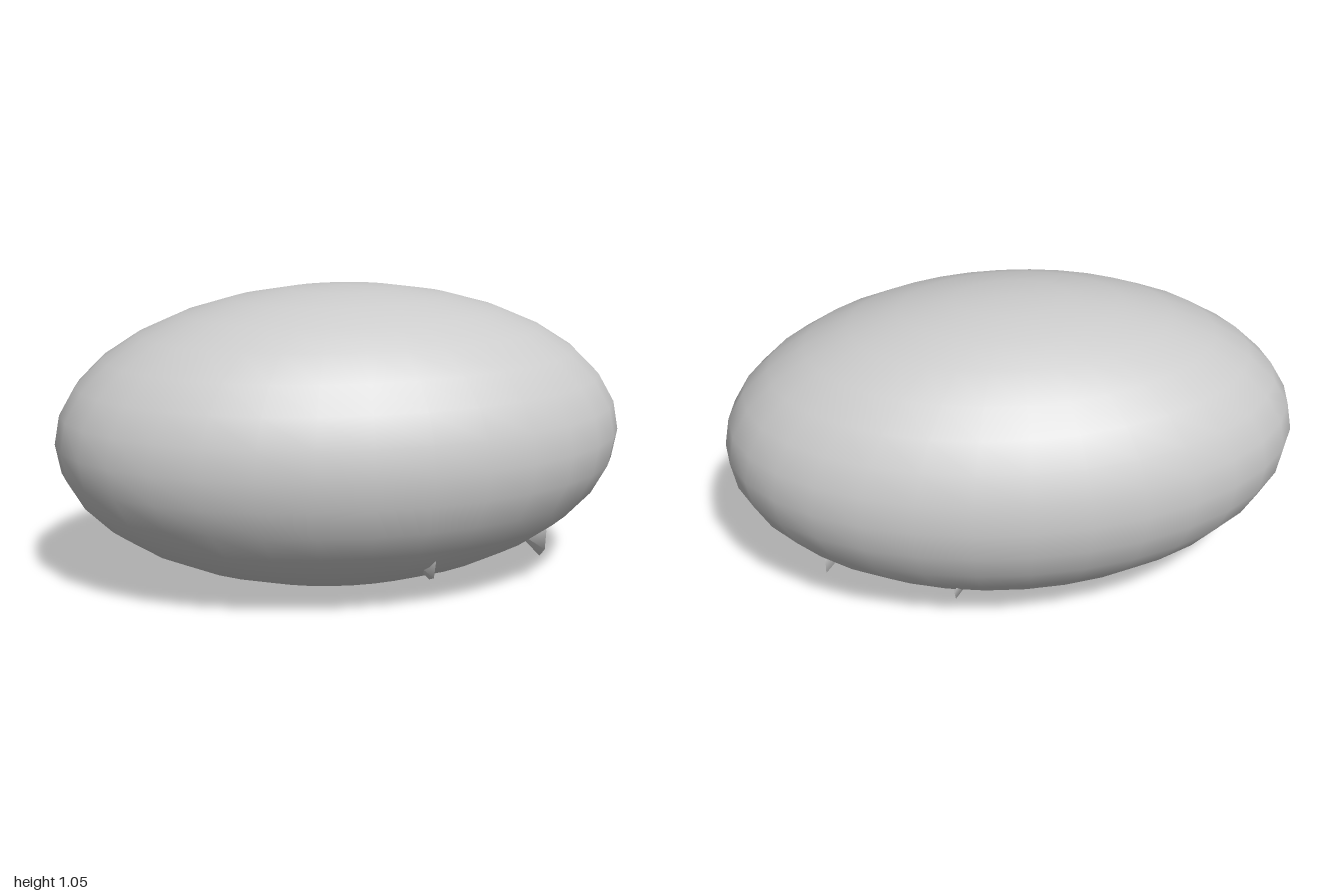
import * as THREE from 'three';

export function createModel() {
  const model = new THREE.Group();
  const material = new THREE.MeshStandardMaterial({ color: 0xcccccc, side: THREE.DoubleSide });

  // Smooth egg-shaped body
  const body = new THREE.Mesh(new THREE.SphereGeometry(1, 32, 16), material);
  body.name = 'body';
  body.scale.set(1, 0.527, 0.643);
  body.position.y = 0.527;
  model.add(body);

  // Small open eight-sided cones, half sunk in the underside, mouths facing +x
  const R = 0.095, depth = 0.085;
  const cup = new THREE.ConeGeometry(R, depth, 8, 1, true);
  cup.translate(0, depth / 2, 0); // mouth at the origin
  cup.rotateZ(Math.PI / 2); // tip towards -x

  const addCup = (name, x, y, z, turn) => {
    for (const side of [1, -1]) {
      const mesh = new THREE.Mesh(cup, material);
      mesh.name = name + (side > 0 ? 'Front' : 'Back');
      mesh.position.set(x, y, side * z);
      mesh.rotation.x = side * turn;
      model.add(mesh);
    }
  };
  addCup('innerCup', 0.68, 0.187, 0.185, -0.23);
  addCup('outerCup', 0.24, 0.184, 0.366, 0);

  return model;
}
